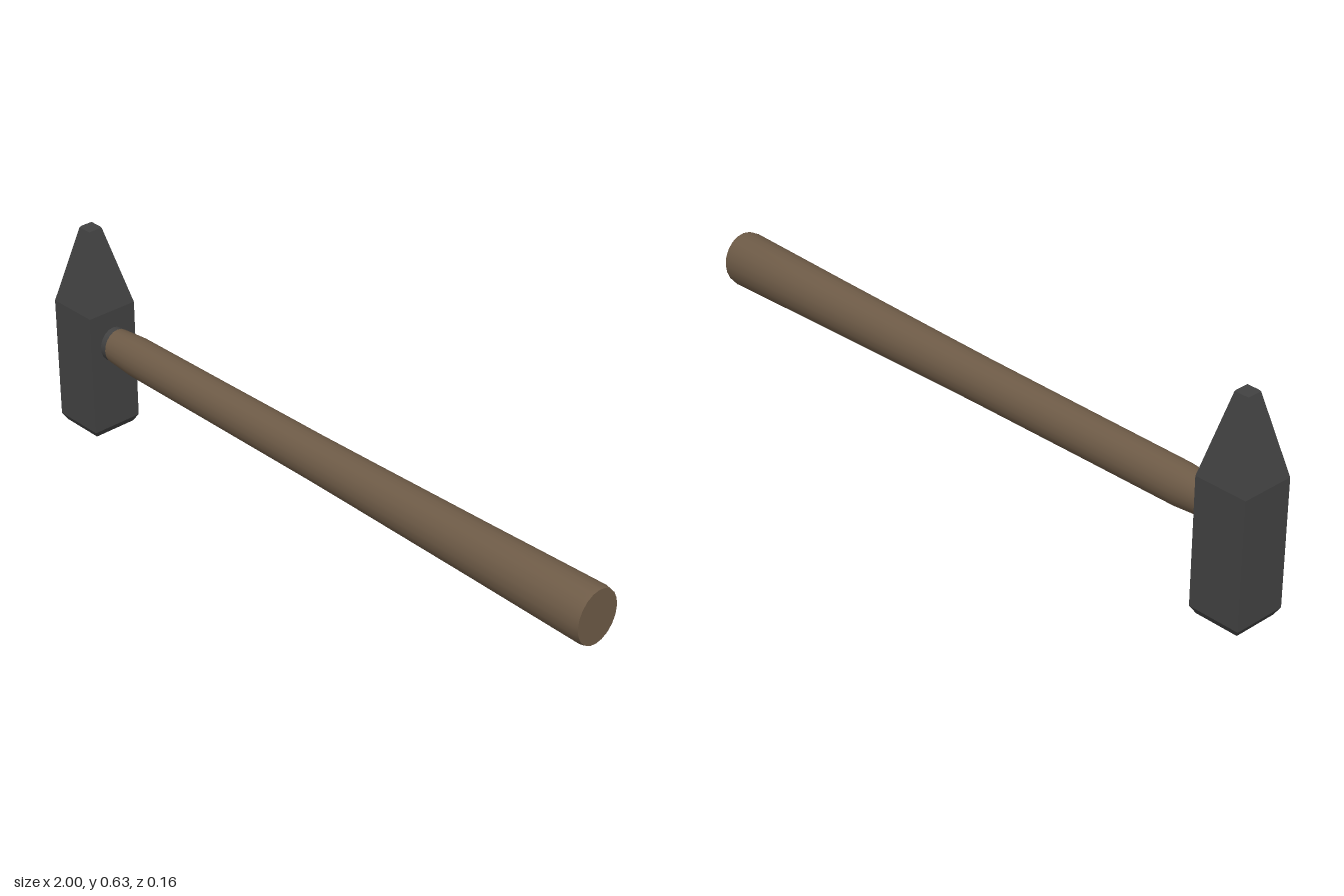
import * as THREE from 'three';
import { toCreasedNormals } from 'three/addons/utils/BufferGeometryUtils.js';

const steel = new THREE.MeshStandardMaterial({ color: 0x424242 });
steel.name = 'dark steel';
const wood = new THREE.MeshStandardMaterial({ color: 0x6e5b47 });
wood.name = 'brown wood';

const HEAD_X = -0.92, GRIP_Y = 0.29;

// Turned solid from [radius, height] pairs
function turned(profile, sides, phi, crease) {
  const points = profile.map(([r, h]) => new THREE.Vector2(r, h));
  return toCreasedNormals(new THREE.LatheGeometry(points, sides, phi), crease);
}

// Oval solid lying along x, from [half height, x] pairs
function ovalAlongX(profile) {
  const geometry = turned(profile, 20, 0, 0.5);
  geometry.rotateZ(-Math.PI / 2);
  geometry.scale(1, 1, 0.89);
  geometry.translate(0, GRIP_Y, 0);
  return geometry;
}

export function createModel() {
  const group = new THREE.Group();
  group.name = 'hammer';
  const add = (name, geometry, material) => {
    const mesh = new THREE.Mesh(geometry, material);
    mesh.name = name;
    group.add(mesh);
  };

  // Square head: chamfered striking face below, tapered peen above
  const halfWidths = [[0, 0], [0.067, 0], [0.08, 0.022], [0.08, 0.396], [0.022, 0.63], [0.018, 0.635], [0, 0.635]];
  const head = turned(halfWidths.map(([w, h]) => [w * Math.SQRT2, h]), 4, Math.PI / 4, 0.1);
  head.translate(HEAD_X, 0, 0);
  add('head', head, steel);

  // Short steel collar between head and handle
  add('collar', ovalAlongX([[0.052, -0.86], [0.052, -0.815]]), steel);

  // Handle swelling towards a chamfered butt
  add('handle', ovalAlongX([
    [0, -0.82], [0.053, -0.82], [0.06, -0.73], [0.0615, -0.4], [0.064, 0],
    [0.067, 0.2], [0.074, 0.6], [0.082, 0.985], [0.079, 1], [0, 1],
  ]), wood);

  return group;
}
